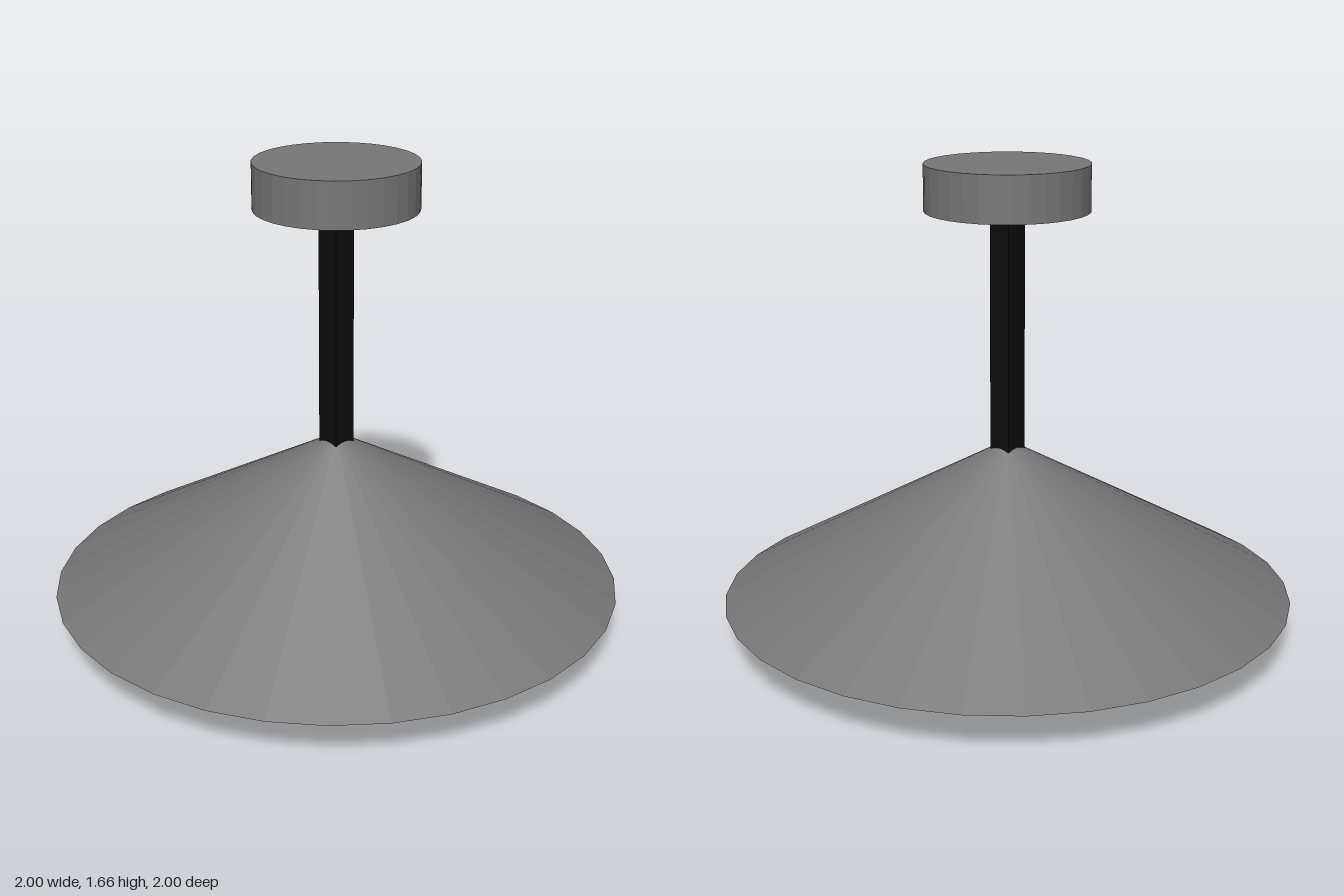
import * as THREE from 'three';

export function createModel() {
  const group = new THREE.Group();
  group.name = 'pendantLamp';

  const material = (color, extra = {}) =>
    new THREE.MeshStandardMaterial({ color, flatShading: true, ...extra });
  const grey = material(0x777777);
  const black = material(0x0d0d0d);
  const amber = material(0xffa500);
  const shadeGrey = material(0x777777, { side: THREE.DoubleSide });

  const add = (name, geometry, mat, y) => {
    const mesh = new THREE.Mesh(geometry, mat);
    mesh.name = name;
    mesh.position.y = y;
    group.add(mesh);
  };

  // Round plate fixed to the ceiling
  add('ceilingPlate', new THREE.CylinderGeometry(0.282, 0.282, 0.16, 32), grey, 1.59);

  // Square rod from the plate down into the shade
  add('rod', new THREE.BoxGeometry(0.084, 0.95, 0.084), black, 1.055);

  // Thin open conical shade
  add('shade', new THREE.ConeGeometry(1, 0.56, 32, 1, true), shadeGrey, 0.427);

  // Bulb holder under the shade's tip
  add('socket', new THREE.CylinderGeometry(0.17, 0.17, 0.22, 12), grey, 0.5);

  // Faceted bulb
  add('bulb', new THREE.SphereGeometry(0.24, 12, 8), amber, 0.245);

  return group;
}
